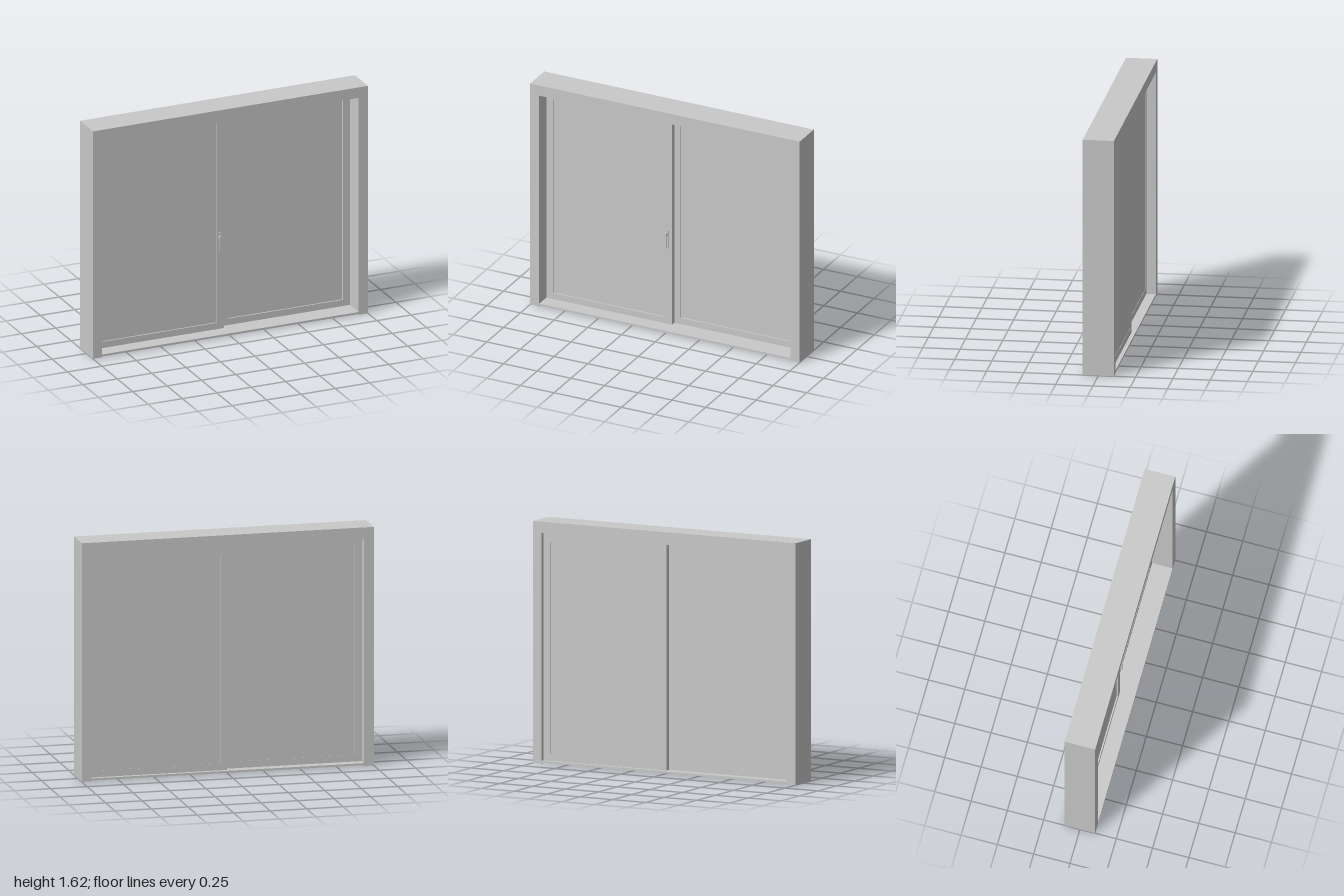
import * as THREE from 'three';

const grey = new THREE.MeshStandardMaterial({ color: 0xc9c9c9 });
grey.name = 'light grey';

// box given by its limits along each axis
function block(name, [x0, x1], [y0, y1], [z0, z1]) {
  const mesh = new THREE.Mesh(new THREE.BoxGeometry(x1 - x0, y1 - y0, z1 - z0), grey);
  mesh.position.set((x0 + x1) / 2, (y0 + y1) / 2, (z0 + z1) / 2);
  mesh.name = name;
  return mesh;
}

function rectangle(Type, x0, x1, y0, y1) {
  return new Type([[x0, y0], [x1, y0], [x1, y1], [x0, y1]].map(([x, y]) => new THREE.Vector2(x, y)));
}

// sliding panel: a rail-and-stile surround with a slightly recessed pane
function slidingPanel(name, [x0, x1], [y0, y1], [z0, z1], opening) {
  const [ox0, ox1, oy0, oy1] = opening;
  const panel = new THREE.Group();
  panel.name = name;
  const shape = rectangle(THREE.Shape, x0, x1, y0, y1);
  shape.holes.push(rectangle(THREE.Path, ox0, ox1, oy0, oy1));
  const surround = new THREE.Mesh(
    new THREE.ExtrudeGeometry(shape, { depth: z1 - z0, bevelEnabled: false }), grey);
  surround.position.z = z0;
  surround.name = 'panelSurround';
  panel.add(surround, block('pane', [ox0, ox1], [oy0, oy1], [z0 + 0.002, z1 - 0.01]));
  return panel;
}

export function createModel() {
  const model = new THREE.Group();
  model.name = 'slidingWindow';
  const depth = [-0.105, 0.105];

  // outer frame: one piece of head and jambs, with a thin sill between the jambs
  const arch = new THREE.Shape([
    [-1, 0], [-0.933, 0], [-0.933, 1.55], [0.933, 1.55], [0.933, 0], [1, 0], [1, 1.625], [-1, 1.625],
  ].map(([x, y]) => new THREE.Vector2(x, y)));
  const frame = new THREE.Mesh(
    new THREE.ExtrudeGeometry(arch, { depth: 0.21, bevelEnabled: false }), grey);
  frame.position.z = depth[0];
  frame.name = 'outerFrame';
  model.add(frame);
  model.add(block('sill', [-0.933, 0.933], [0.006, 0.02], depth));
  model.add(block('headTrack', [-0.933, 0.933], [1.535, 1.55], [-0.078, -0.042]));

  // the two panels, one behind the other
  model.add(slidingPanel('frontPanel', [-0.933, 0], [0.02, 1.55], [-0.042, 0],
    [-0.885, -0.05, 0.065, 1.49]));
  model.add(slidingPanel('rearPanel', [0, 0.933], [0.02, 1.535], [-0.078, -0.036],
    [0.045, 0.88, 0.065, 1.49]));

  // handle: back plate, neck and hanging grip
  const handle = new THREE.Group();
  handle.name = 'handle';
  handle.add(
    block('handlePlate', [-0.049, -0.025], [0.585, 0.71], [0, 0.006]),
    block('handleNeck', [-0.042, -0.031], [0.67, 0.69], [0.006, 0.025]),
    block('handleGrip', [-0.042, -0.031], [0.585, 0.69], [0.018, 0.027]),
  );
  model.add(handle);
  return model;
}
